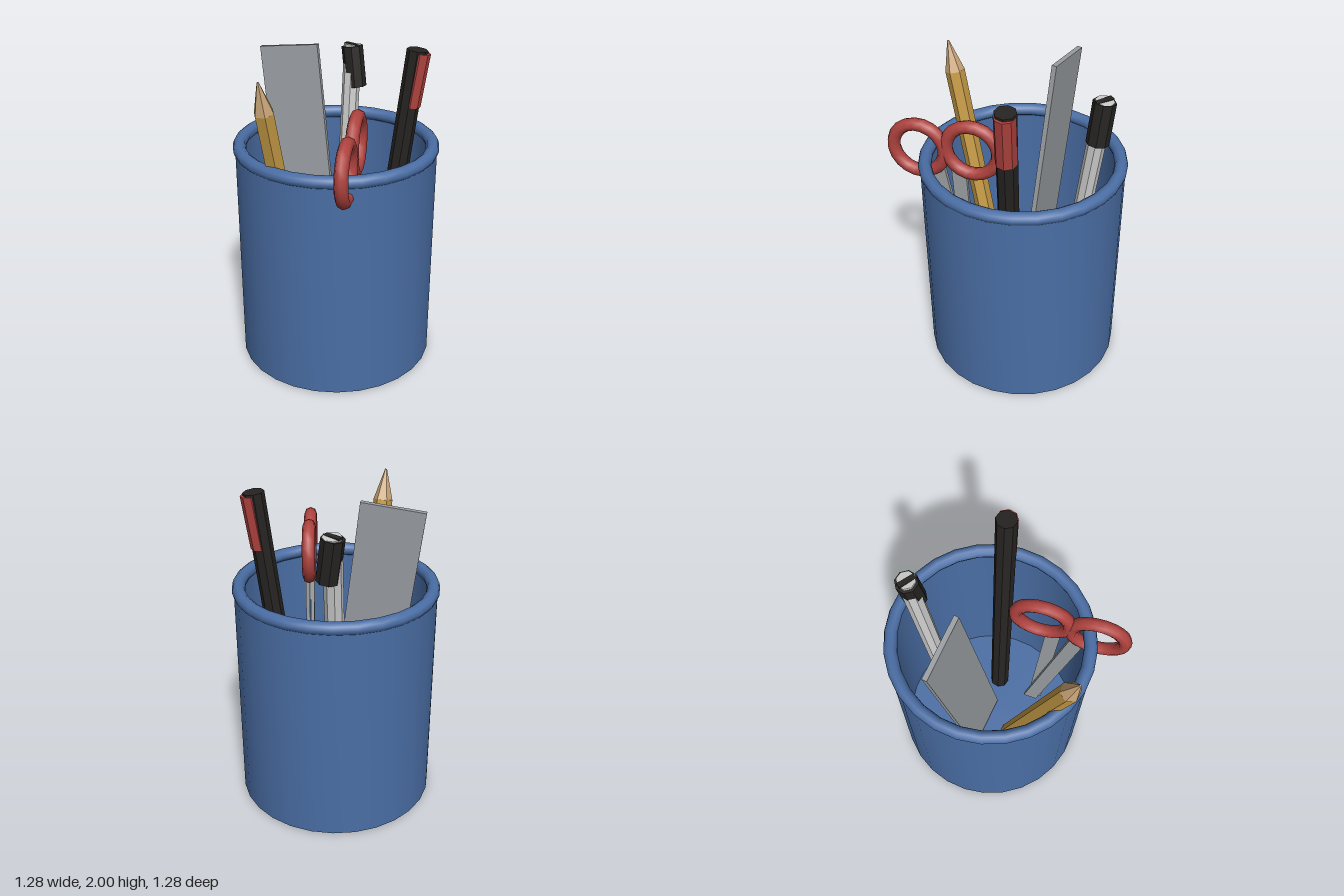
import * as THREE from 'three';
import { toCreasedNormals } from 'three/addons/utils/BufferGeometryUtils.js';

const V = (x, y, z) => new THREE.Vector3(x, y, z);
const mat = (color, flatShading = false) => new THREE.MeshStandardMaterial({ color, flatShading });

function add(parent, name, geometry, material) {
  const mesh = new THREE.Mesh(geometry, material);
  mesh.name = name;
  parent.add(mesh);
  return mesh;
}

// Prism or cone running from point a to point b
function rod(parent, name, a, b, rBottom, rTop, sides, material) {
  const dir = b.clone().sub(a);
  const mesh = add(parent, name, new THREE.CylinderGeometry(rTop, rBottom, dir.length(), sides), material);
  mesh.position.copy(a).add(b).multiplyScalar(0.5);
  mesh.quaternion.setFromUnitVectors(V(0, 1, 0), dir.normalize());
  return mesh;
}

function subgroup(parent, name) {
  const g = new THREE.Group();
  g.name = name;
  parent.add(g);
  return g;
}

export function createModel() {
  const model = new THREE.Group();
  model.name = 'pencilCup';

  const blue = mat(0x4a6ea5);
  const red = mat(0xb0433f);
  const redFlat = mat(0xb0433f, true);
  const black = mat(0x262422, true);
  const white = mat(0xcccccc, true);
  const steel = mat(0x9a9ea2, true);
  const yellow = mat(0xc49a45, true);
  const wood = mat(0xcaa678, true);

  // Cup: hollow wall with floor, and a rolled rim
  const cup = subgroup(model, 'cup');
  cup.position.set(-0.018, 0, -0.014);
  const profile = [[0, 0], [0.613, 0], [0.613, 1.4], [0.575, 1.4], [0.575, 0.04], [0, 0.04]]
    .map(([x, y]) => new THREE.Vector2(x, y));
  add(cup, 'cupBody', toCreasedNormals(new THREE.LatheGeometry(profile, 28), 0.6), blue);
  const rim = add(cup, 'cupRim', new THREE.TorusGeometry(0.585, 0.04, 10, 28), blue);
  rim.rotation.x = Math.PI / 2;
  rim.position.y = 1.397;

  // Pencil: hexagonal shaft with a sharpened end
  const pencil = subgroup(model, 'pencil');
  const neck = V(0.093, 1.755, 0.58);
  rod(pencil, 'pencilShaft', V(-0.015, 0.05, 0.2), neck, 0.06, 0.06, 6, yellow);
  rod(pencil, 'pencilPoint', neck, V(0.107, 1.94, 0.622), 0.06, 0.006, 6, wood);

  // Marker: black barrel, red cap sitting slightly askew
  const marker = subgroup(model, 'marker');
  rod(marker, 'markerBarrel', V(0.16, 0.05, -0.17), V(0.31, 1.99, -0.35), 0.063, 0.063, 8, black);
  rod(marker, 'markerCap', V(0.291, 1.655, -0.323), V(0.321, 1.975, -0.36), 0.063, 0.063, 8, redFlat);

  // Pen: pale barrel, black cap tilted against it
  const pen = subgroup(model, 'pen');
  rod(pen, 'penBarrel', V(-0.19, 0.05, -0.185), V(-0.31, 1.885, -0.39), 0.056, 0.056, 8, white);
  rod(pen, 'penCap', V(-0.275, 1.62, -0.388), V(-0.312, 1.876, -0.385), 0.068, 0.068, 8, black);
  const band = add(pen, 'penTopBand', new THREE.BoxGeometry(0.11, 0.012, 0.035), black);
  band.position.set(-0.31, 1.883, -0.385);
  band.rotation.x = -0.11;

  // Ruler: flat leaning strip, placed by its own axes
  const across = V(0.32, 0.045, -0.19);
  const up = V(-0.27, 1.88, 0.02);
  const origin = V(-0.27, 0.04, 0.14);
  const ruler = add(model, 'ruler', new THREE.BoxGeometry(across.length(), up.length(), 0.03), steel);
  ruler.position.copy(origin).addScaledVector(across, 0.5).addScaledVector(up, 0.5);
  const xAxis = across.clone().normalize();
  const zAxis = xAxis.clone().cross(up).normalize();
  ruler.quaternion.setFromRotationMatrix(
    new THREE.Matrix4().makeBasis(xAxis, zAxis.clone().cross(xAxis), zAxis));

  // Scissors: two finger rings above a pair of crossing blades
  const scissors = subgroup(model, 'scissors');
  scissors.position.set(0.385, 1.488, 0.205);
  scissors.rotation.set(0, -Math.atan2(0.255, 0.215), -0.12);
  for (const side of [-1, 1]) {
    const ring = add(scissors, side < 0 ? 'innerRing' : 'outerRing',
      new THREE.TorusGeometry(0.16, 0.04, 8, 20), red);
    ring.position.x = side * 0.168;
    const blade = add(scissors, side < 0 ? 'innerBlade' : 'outerBlade',
      new THREE.BoxGeometry(0.09, 1.25, 0.025), steel);
    blade.position.set(side * 0.03, -0.75, side * 0.013);
    blade.rotation.z = -side * 0.07;
  }

  return model;
}
